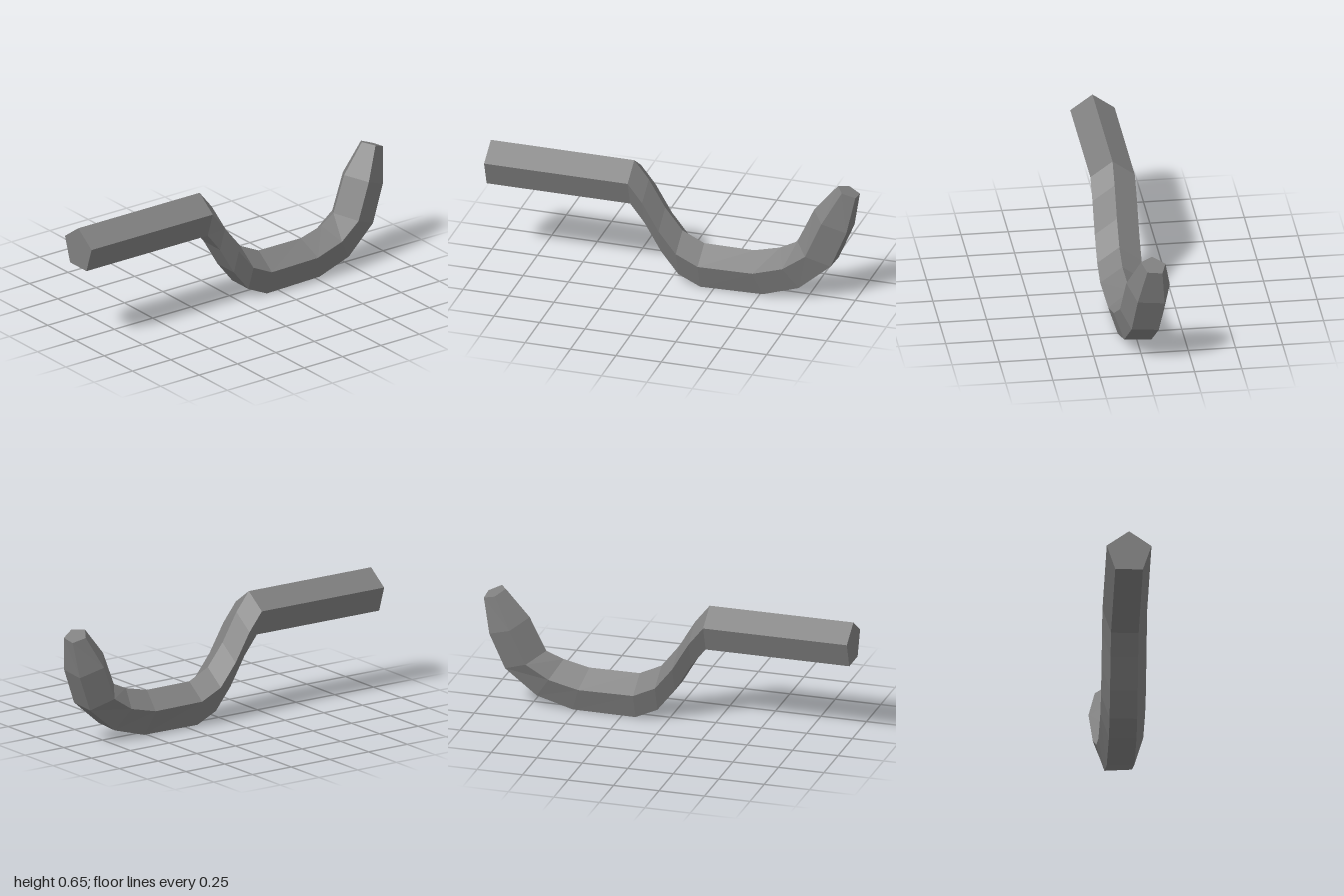
import * as THREE from 'three';

// Pentagon corners (counter-clockwise from the front): sideways offset, and height from base (0) to apex (1)
const PENTAGON = [[0, 1], [-0.1175, 0.618], [-0.0725, 0], [0.0725, 0], [0.1175, 0.618]];

// Each ring: apex z, apex y, base z, base y, centre x, width scale, roll
const RINGS = [
  [1, 0.65, 1, 0.43, 0.0205, 1, 0],
  [0.21, 0.65, 0.21, 0.43, 0.0205, 1, 0],
  [0.13, 0.55, 0.13, 0.328, 0.0205, 1, 0],
  [0.04, 0.398, 0.04, 0.176, 0.0205, 1, 0],
  [-0.055, 0.279, -0.055, 0.057, 0.0205, 1, 0],
  [-0.175, 0.222, -0.175, 0.001, 0.0205, 1, 0],
  [-0.45, 0.221, -0.52, 0.006, 0.019, 1, 0.03],
  [-0.59, 0.255, -0.715, 0.066, 0.012, 1, 0.06],
  [-0.68, 0.297, -0.885, 0.207, -0.004, 0.99, 0.08],
  [-0.765, 0.485, -0.965, 0.402, -0.025, 0.98, 0.1],
  [-0.892, 0.636, -1, 0.594, -0.04, 0.55, 0.13],
];

function ringPoints([topZ, topY, baseZ, baseY, cx, scale, roll]) {
  return PENTAGON.map(([dx, t]) => new THREE.Vector3(
    cx + dx * scale,
    THREE.MathUtils.lerp(baseY, topY, t) + dx * scale * roll,
    THREE.MathUtils.lerp(baseZ, topZ, t),
  ));
}

// Flat-faced solid through a run of rings, with optional end caps
function sweep(rings, capFront, capBack) {
  const points = [];
  const n = PENTAGON.length;
  for (let r = 0; r < rings.length - 1; r++) {
    const a = rings[r], b = rings[r + 1];
    for (let i = 0; i < n; i++) {
      const j = (i + 1) % n;
      points.push(a[i], b[i], b[j], a[i], b[j], a[j]);
    }
  }
  const first = rings[0], last = rings[rings.length - 1];
  for (let i = 1; i < n - 1; i++) {
    if (capFront) points.push(first[0], first[i], first[i + 1]);
    if (capBack) points.push(last[0], last[i + 1], last[i]);
  }
  const geometry = new THREE.BufferGeometry().setFromPoints(points);
  geometry.computeVertexNormals();
  return geometry;
}

export function createModel() {
  const group = new THREE.Group();
  group.name = 'curvedBar';
  const grey = new THREE.MeshStandardMaterial({ color: 0x808080, flatShading: true });
  grey.name = 'grey';
  const rings = RINGS.map(ringPoints);

  const addPart = (name, from, to) => {
    const geometry = sweep(rings.slice(from, to + 1), from === 0, to === rings.length - 1);
    const mesh = new THREE.Mesh(geometry, grey);
    mesh.name = name;
    group.add(mesh);
  };

  addPart('straightShaft', 0, 1);
  addPart('downwardBend', 1, 5);
  addPart('upturnedHook', 5, 10);
  return group;
}
